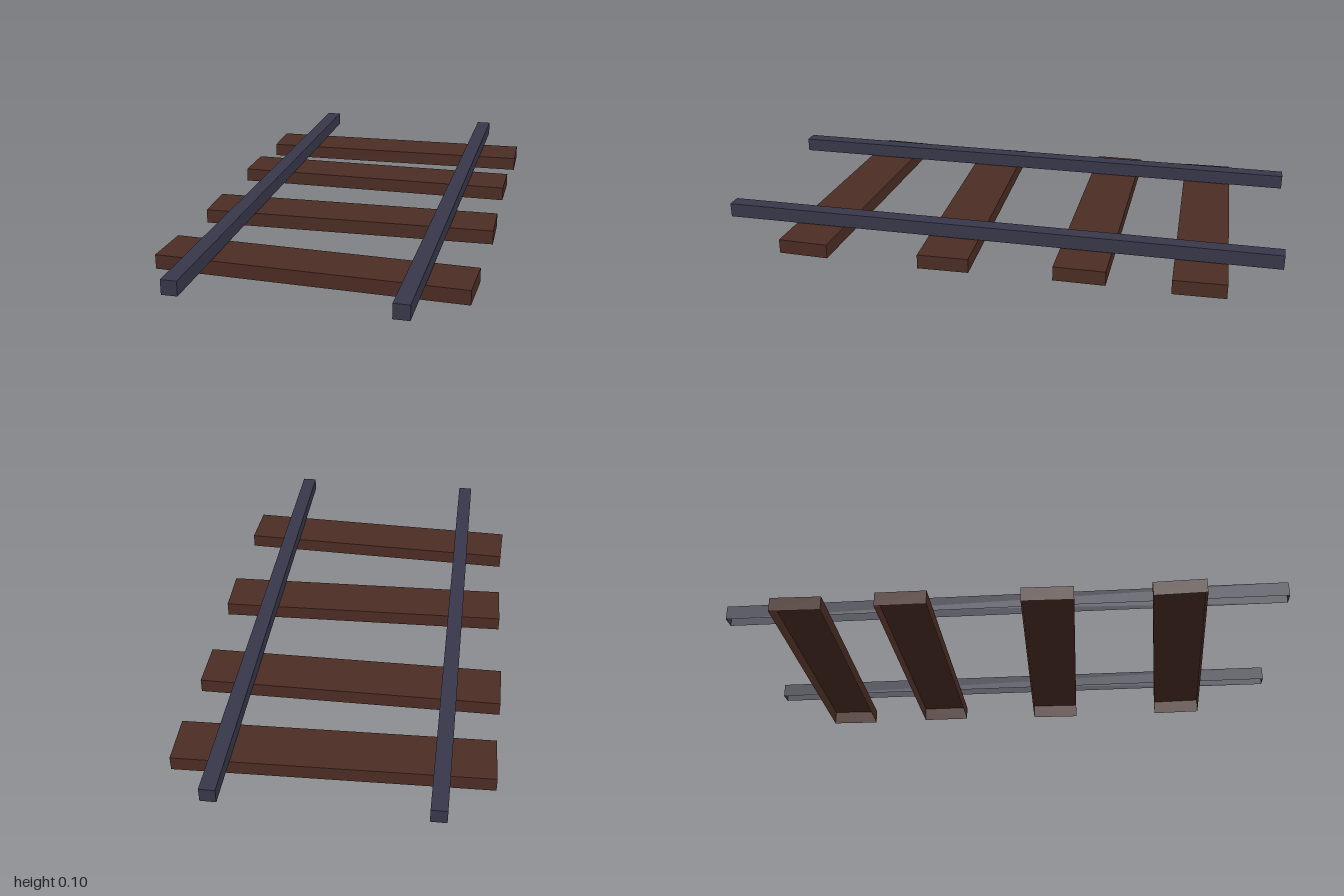
import * as THREE from 'three';

// Box without its underside
function openBox(w, h, d) {
  const geo = new THREE.BoxGeometry(w, h, d);
  const index = Array.from(geo.index.array);
  index.splice(18, 6);
  geo.setIndex(index);
  geo.clearGroups();
  return geo;
}

export function createModel() {
  const model = new THREE.Group();
  model.name = 'railTrack';

  const wood = new THREE.MeshStandardMaterial({ color: 0x4b2c23, side: THREE.DoubleSide });
  wood.name = 'dark wood';
  const steel = new THREE.MeshStandardMaterial({ color: 0x37374a, side: THREE.DoubleSide });
  steel.name = 'blue grey steel';

  // Sleepers, laid slightly crooked: x, z, turn
  const sleeperGeo = openBox(1.07, 0.051, 0.181);
  [
    [-0.002, -0.717, 0.029],
    [-0.009, -0.332, 0],
    [0.003, 0.155, 0.027],
    [-0.002, 0.635, -0.038],
  ].forEach(([x, z, turn], i) => {
    const sleeper = new THREE.Mesh(sleeperGeo, wood);
    sleeper.name = `sleeper${i + 1}`;
    sleeper.position.set(x, 0.0255, z);
    sleeper.rotation.y = turn;
    model.add(sleeper);
  });

  // Two straight rails resting just above the sleepers
  const railGeo = openBox(0.054, 0.051, 2);
  [['rightRail', -0.363], ['leftRail', 0.358]].forEach(([name, x]) => {
    const rail = new THREE.Mesh(railGeo, steel);
    rail.name = name;
    rail.position.set(x, 0.0795, 0);
    model.add(rail);
  });

  return model;
}
